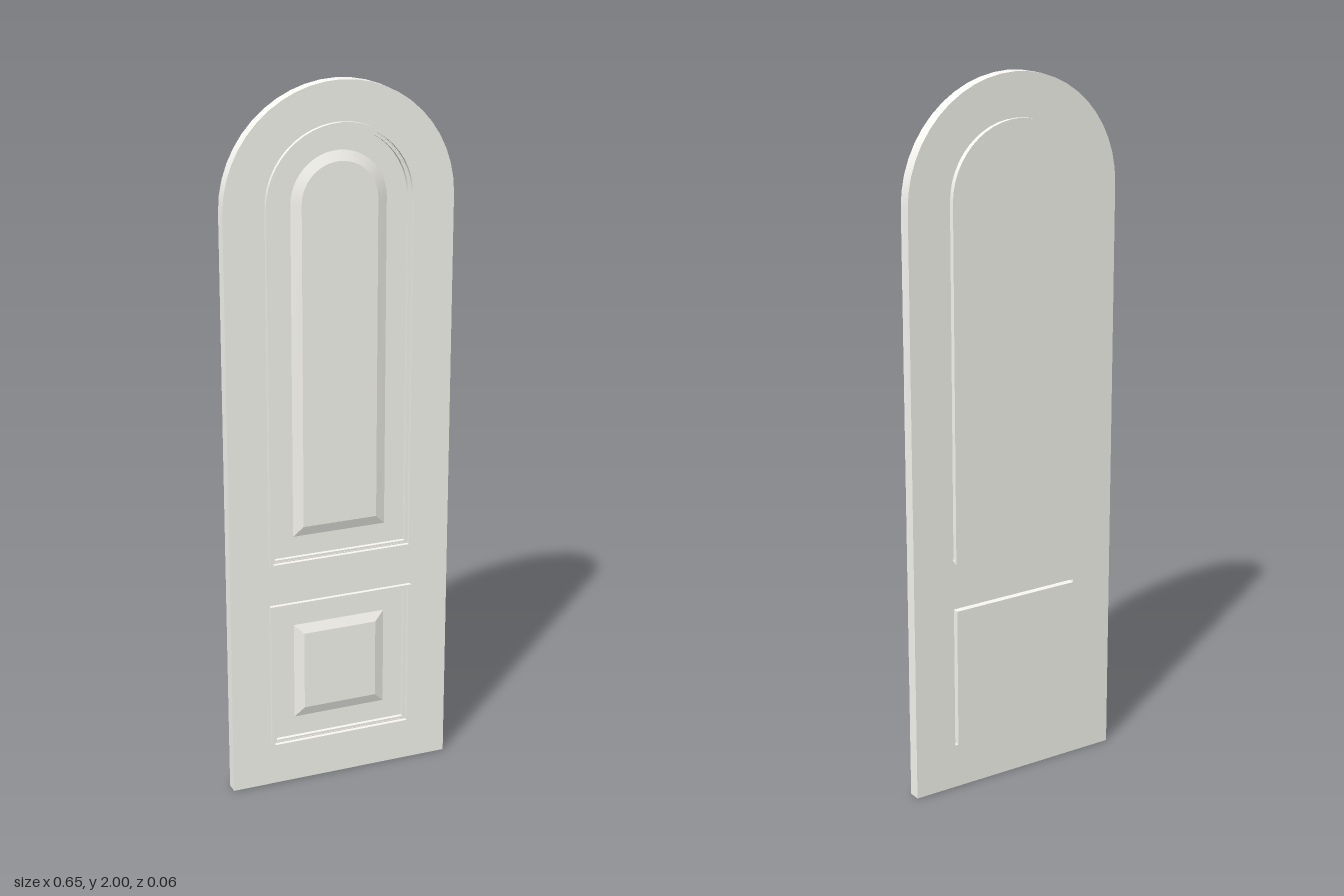
import * as THREE from 'three';
import { toCreasedNormals } from 'three/addons/utils/BufferGeometryUtils.js';

const SPRING = 1.68; // height where the arches begin
const material = new THREE.MeshStandardMaterial({ color: 0xfbfaf4 });

// Outline with a flat bottom and a semicircular head
function arch(Type, r, bottom, spring = SPRING) {
  const s = new Type();
  s.moveTo(-r, bottom);
  s.lineTo(r, bottom);
  s.lineTo(r, spring);
  s.absarc(0, spring, r, 0, Math.PI, false);
  s.lineTo(-r, bottom);
  return s;
}

function rect(Type, w, bottom, top) {
  const s = new Type();
  s.moveTo(-w, bottom);
  s.lineTo(w, bottom);
  s.lineTo(w, top);
  s.lineTo(-w, top);
  s.lineTo(-w, bottom);
  return s;
}

// Plate between two depths, with optional holes
function plate(name, shape, z0, z1, holes = []) {
  shape.holes.push(...holes);
  const geo = new THREE.ExtrudeGeometry(shape, { depth: z1 - z0, bevelEnabled: false, curveSegments: 12 });
  geo.translate(0, 0, z0);
  const mesh = new THREE.Mesh(toCreasedNormals(geo, 0.35), material);
  mesh.name = name;
  return mesh;
}

// Raised centre with sloping edges
function raisedField(name, shape, z, rise, slope) {
  const geo = new THREE.ExtrudeGeometry(shape, {
    depth: 0.001, bevelEnabled: true, bevelSegments: 1, bevelSize: slope,
    bevelThickness: rise, curveSegments: 12,
  });
  geo.translate(0, 0, z - 0.001);
  const mesh = new THREE.Mesh(toCreasedNormals(geo, 0.28), material);
  mesh.name = name;
  return mesh;
}

export function createModel() {
  const door = new THREE.Group();
  door.name = 'archedDoor';

  // Each outline takes a half width; the other edges move with it
  const upper = (T, w) => arch(T, w, 0.885 - w);
  const lower = (T, w) => rect(T, w, 0.33 - w, 0.345 + w);

  // Slab pierced by the two panel openings, slightly wider than the panels
  door.add(plate('slab', arch(THREE.Shape, 0.326, 0, 1.674), -0.015, 0.02,
    [upper(THREE.Path, 0.2), lower(THREE.Path, 0.2)]));

  for (const [name, outline] of [['upper', upper], ['lower', lower]]) {
    const group = new THREE.Group();
    group.name = name + 'Panel';
    group.add(plate('panelBody', outline(THREE.Shape, 0.195), -0.024, 0.008));
    group.add(raisedField('raisedField', outline(THREE.Shape, 0.108), 0.008, 0.009, 0.028));
    // Moulding that steps down towards the panel
    group.add(plate('outerMoulding', outline(THREE.Shape, 0.212), 0.008, 0.031, [outline(THREE.Path, 0.203)]));
    group.add(plate('innerMoulding', outline(THREE.Shape, 0.203), 0.008, 0.019, [outline(THREE.Path, 0.194)]));
    door.add(group);
  }

  // Wider plate behind the upper panel
  door.getObjectByName('upperPanel').add(plate('rearPlate', upper(THREE.Shape, 0.202), -0.033, -0.024));
  return door;
}
